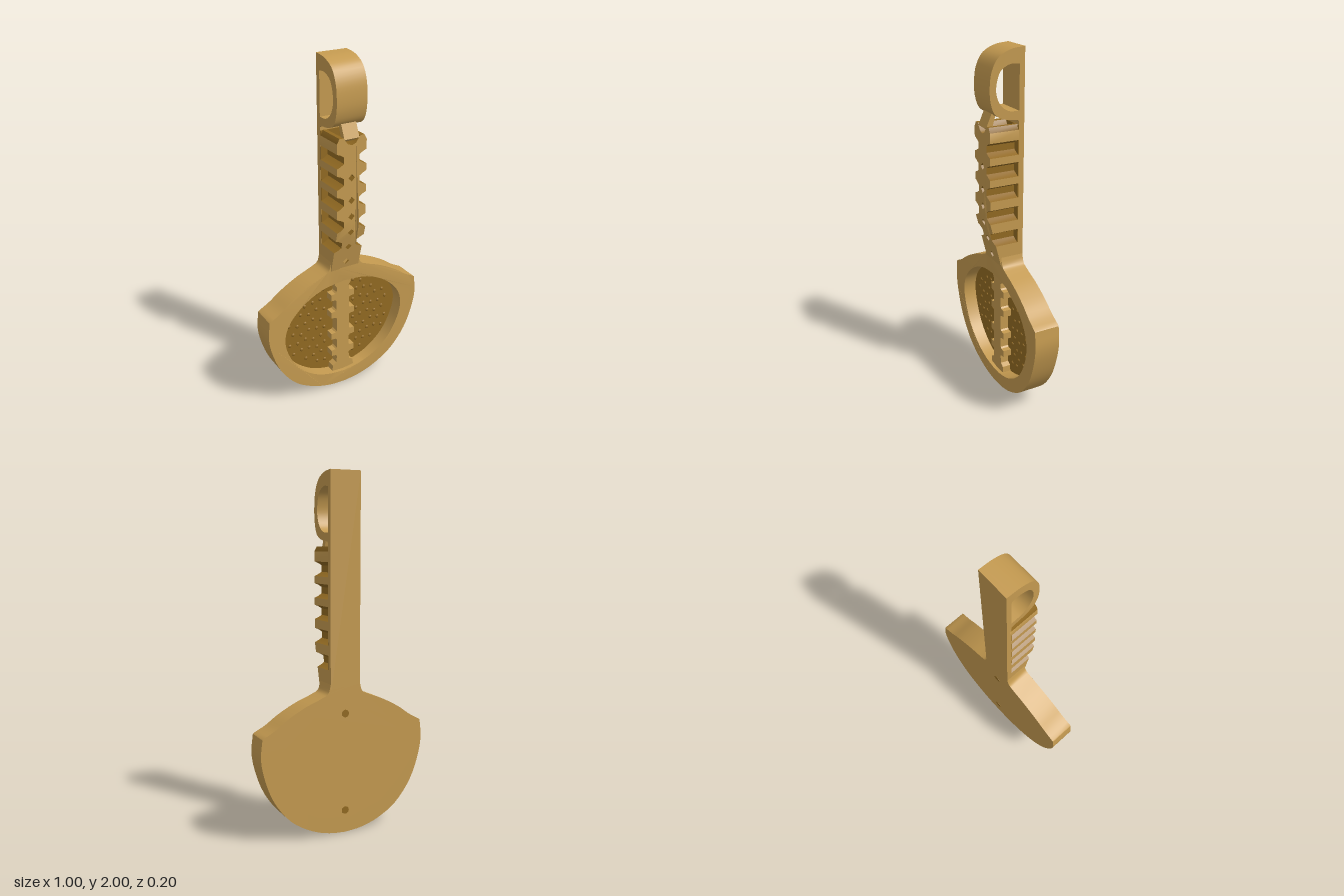
import * as THREE from 'three';
import { toCreasedNormals } from 'three/addons/utils/BufferGeometryUtils.js';

const gold = new THREE.MeshStandardMaterial({ color: 0xc49a50 });
gold.name = 'gold';
const darkGold = new THREE.MeshStandardMaterial({ color: 0x926a22 });
darkGold.name = 'dark gold';

const vec = (pts) => pts.map(([x, y]) => new THREE.Vector2(x, y));
// right-hand half outline, completed with its mirror image
const mirror = (half) => [
  ...half,
  ...half.slice().reverse().filter(([x]) => x > 0.001).map(([x, y]) => [-x, y]),
];
const smooth = (pts, n, closed = false) =>
  new THREE.CatmullRomCurve3(pts.map(([x, y]) => new THREE.Vector3(x, y, 0)), closed, 'centripetal')
    .getPoints(n).map((p) => [p.x, p.y]);

function extrude(shape, z0, z1) {
  const g = new THREE.ExtrudeGeometry(shape, { depth: z1 - z0, bevelEnabled: false, curveSegments: 8 });
  return g.translate(0, 0, z0);
}

// move the front cap to a height given by a rule
function reliefFront(g, rule) {
  const p = g.attributes.position;
  for (let i = 0; i < p.count; i++) {
    if (p.getZ(i) > 0) p.setZ(i, rule(p.getX(i), p.getY(i)));
  }
  return g;
}

export function createModel() {
  const group = new THREE.Group();
  const add = (name, geo, mat = gold) => {
    const m = new THREE.Mesh(toCreasedNormals(geo, 0.6), mat);
    m.name = name;
    group.add(m);
    return m;
  };

  // shield-shaped head with an oval opening
  const bowl = smooth([[0, 0], [0.1, 0.01], [0.21, 0.045], [0.33, 0.12], [0.43, 0.25], [0.485, 0.4], [0.5, 0.5], [0.49, 0.6]], 28);
  const shoulder = smooth([[0.485, 0.605], [0.42, 0.64], [0.35, 0.69], [0.24, 0.75], [0.14, 0.79], [0.105, 0.81], [0.09, 0.86]], 16);
  const ovalHalf = smooth([[0, 0.08], [0.1, 0.093], [0.2, 0.13], [0.31, 0.22], [0.38, 0.35], [0.397, 0.45],
    [0.37, 0.54], [0.28, 0.635], [0.15, 0.7], [0, 0.72]], 36);
  const oval = mirror(ovalHalf);
  const rim = new THREE.Shape(vec(mirror([...bowl, ...shoulder])));
  rim.holes.push(new THREE.Path(vec(oval)));
  add('headRim', reliefFront(extrude(rim, -0.1, 0.035), (x) => 0.033 + 0.05 * x * x));

  // recessed panel and its back
  const ovalShape = new THREE.Shape(vec(oval));
  add('headBack', extrude(ovalShape, -0.1, -0.042));
  add('recessFloor', extrude(ovalShape, -0.044, -0.037), darkGold);

  // pebbled texture on the panel
  const bump = new THREE.SphereGeometry(0.011, 8, 6);
  for (let row = 0; row < 9; row++) {
    for (let col = 0; col < 6; col++) {
      const x = 0.1 + col * 0.052 + (row % 2) * 0.024;
      const y = 0.16 + row * 0.061 + 0.01 * Math.sin(col * 2.3 + row);
      if ((x / 0.37) ** 2 + ((y - 0.41) / 0.29) ** 2 > 0.92) continue;
      for (const s of [-1, 1]) {
        const b = new THREE.Mesh(bump, darkGold);
        b.name = 'pebble';
        b.position.set(s * x, y, -0.037);
        b.scale.z = 0.6;
        group.add(b);
      }
    }
  }

  // notched spine down the middle of the panel
  const spine = [[0, 0.075], [0.075, 0.08], [0.07, 0.125], [0.045, 0.14]];
  for (const y of [0.22, 0.34, 0.49, 0.61]) {
    spine.push([0.042, y - 0.03], [0.05, y - 0.022], [0.078, y - 0.02], [0.078, y + 0.02], [0.05, y + 0.022], [0.042, y + 0.03]);
  }
  spine.push([0.04, 0.67], [0.055, 0.69], [0.05, 0.72], [0, 0.725]);
  add('headSpine', extrude(new THREE.Shape(vec(mirror(spine))), -0.04, 0.012));

  // back bar and hanging loop, one side profile (z, y) extruded across x
  const loopOuter = smooth([[-0.06, 1.628], [0.02, 1.64], [0.07, 1.668], [0.095, 1.73], [0.1, 1.81], [0.088, 1.89],
    [0.05, 1.955], [-0.02, 1.99], [-0.1, 2]], 28);
  const loopInner = smooth([[-0.07, 1.675], [-0.01, 1.68], [0.035, 1.71], [0.062, 1.77], [0.06, 1.83], [0.035, 1.89], [-0.02, 1.918], [-0.07, 1.915]], 24);
  const profile = new THREE.Shape(vec([[-0.1, 0.8], [-0.07, 0.8], [-0.07, 1.62], ...loopOuter]));
  profile.holes.push(new THREE.Path(vec(loopInner)));
  add('backBarAndLoop', extrude(profile, -0.09, 0.09).rotateY(-Math.PI / 2));

  // small strut between loop and rack
  const strut = new THREE.Shape(vec([[0.07, 1.57], [0.1, 1.59], [0.065, 1.67], [0.045, 1.655]]));
  add('loopStrut', extrude(strut, -0.045, 0.045).rotateY(-Math.PI / 2));

  // toothed rack with side notches and small diamond holes
  const edge = [[0, 0.79], [0.09, 0.79]];
  for (const y of [0.975, 1.11, 1.24, 1.36, 1.48]) {
    edge.push([0.09, y - 0.04], [0.07, y - 0.032], [0.047, y - 0.018], [0.047, y + 0.018], [0.07, y + 0.032], [0.09, y + 0.04]);
  }
  edge.push([0.09, 1.575], [0.075, 1.602], [0.05, 1.6], [0.025, 1.565], [0, 1.555]);
  const rack = new THREE.Shape(vec(mirror(edge)));
  for (const y of [0.85, 0.955, 1.055, 1.15, 1.245, 1.375]) {
    rack.holes.push(new THREE.Path(vec([[0, y - 0.02], [-0.02, y], [0, y + 0.02], [0.02, y]])));
  }
  const rackGeo = reliefFront(extrude(rack, -0.08, 0.1), (x, y) => Math.min(0.1, 0.1 - (1.07 - y) * 0.25));
  // notch and hole walls are dark, outer faces gold
  rackGeo.clearGroups();
  const p = rackGeo.attributes.position;
  for (let i = 0; i < p.count; i += 3) {
    const zs = [0, 1, 2].map((k) => p.getZ(i + k));
    const wall = Math.min(...zs) < -0.07 && Math.max(...zs) > 0;
    const inner = [0, 1, 2].some((k) => Math.abs(p.getX(i + k)) < 0.085);
    rackGeo.addGroup(i, 3, wall && inner ? 1 : 0);
  }
  add('toothedRack', rackGeo, [gold, darkGold]);
  add('rackFloor', new THREE.BoxGeometry(0.178, 0.7, 0.006).translate(0, 1.25, -0.069), darkGold);

  // two small marks on the back
  for (const y of [0.69, 0.13]) {
    add('backPinhole', new THREE.CylinderGeometry(0.022, 0.022, 0.004, 12).rotateX(Math.PI / 2).translate(0, y, -0.1), darkGold);
  }
  return group;
}
